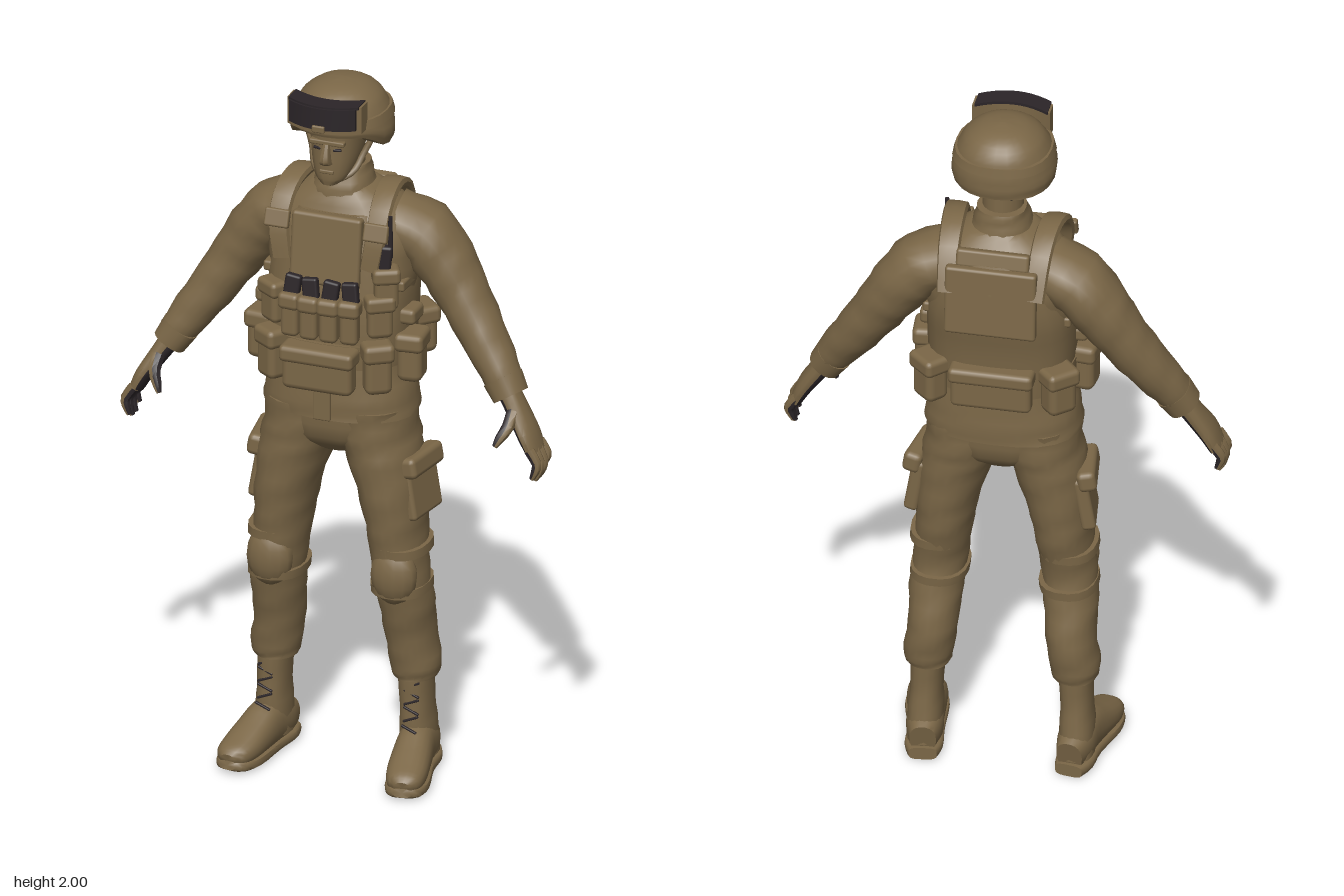
import * as THREE from 'three';
import { toCreasedNormals } from 'three/addons/utils/BufferGeometryUtils.js';
import { RoundedBoxGeometry } from 'three/addons/geometries/RoundedBoxGeometry.js';

const fabric = new THREE.MeshStandardMaterial({ color: 0x7b6747, side: THREE.DoubleSide });
fabric.name = 'tan fabric';
const dark = new THREE.MeshStandardMaterial({ color: 0x2b2528, side: THREE.DoubleSide });
dark.name = 'dark rubber';

const V = (x, y, z) => new THREE.Vector3(x, y, z);

// Smooth interpolation through rows of numbers
function refine(rows, sub) {
  const out = [];
  for (let i = 0; i < rows.length - 1; i++) {
    const p = [rows[Math.max(i - 1, 0)], rows[i], rows[i + 1], rows[Math.min(i + 2, rows.length - 1)]];
    for (let j = 0; j < sub; j++) {
      const t = j / sub;
      out.push(p[1].map((b, c) => {
        const a = p[0][c], d = p[2][c], e = p[3][c];
        return b + 0.5 * t * (d - a + t * (2 * a - 5 * b + 4 * d - e + t * (3 * (b - d) + e - a)));
      }));
    }
  }
  out.push(rows[rows.length - 1]);
  return out;
}

// Skin over elliptical sections [x, y, z, a, b]; wrinkle adds cloth folds, darkSide paints one half
function loft(rows, { n = 18, sub = 3, flat = false, ref = V(0, 0, 1), power = 0.85, wrinkle = 0, darkSide = 0 } = {}) {
  const rings = refine(rows, sub), pos = [], plain = [], painted = [];
  const center = (i) => V(...rings[Math.min(Math.max(i, 0), rings.length - 1)].slice(0, 3));
  const soft = (v) => Math.sign(v) * Math.abs(v) ** power;
  rings.forEach((r, k) => {
    const T = flat ? V(0, 1, 0) : center(k + 1).sub(center(k - 1)).normalize();
    const X = T.clone().cross(ref).normalize(), W = X.clone().cross(T);
    for (let j = 0; j < n; j++) {
      const q = (j / n) * Math.PI * 2;
      const f = 1 + wrinkle * (Math.sin(2 * q + 2.3 * k) + 0.7 * Math.sin(5 * q - 1.7 * k));
      const p = center(k).addScaledVector(X, r[3] * f * soft(Math.cos(q))).addScaledVector(W, r[4] * f * soft(Math.sin(q)));
      pos.push(p.x, p.y, p.z);
    }
  });
  for (let k = 0; k < rings.length - 1; k++) for (let j = 0; j < n; j++) {
    const a = k * n + j, b = k * n + (j + 1) % n, c = a + n, d = b + n;
    const list = Math.cos(((j + 0.5) / n) * Math.PI * 2) * darkSide > 0.15 ? painted : plain;
    list.push(a, c, b, b, c, d);
  }
  const last = rings.length - 1, base = pos.length / 3;
  pos.push(...center(0).toArray(), ...center(last).toArray());
  for (let j = 0; j < n; j++) {
    const i = (j + 1) % n;
    plain.push(base, j, i, base + 1, last * n + i, last * n + j);
  }
  const g = new THREE.BufferGeometry();
  g.setAttribute('position', new THREE.Float32BufferAttribute(pos, 3));
  g.setIndex([...plain, ...painted]);
  g.addGroup(0, plain.length, 0);
  g.addGroup(plain.length, painted.length, 1);
  return toCreasedNormals(g, 0.75);
}

export function createModel() {
  const model = new THREE.Group();
  model.name = 'soldier';
  const add = (name, geo, mat = fabric, parent = model) => {
    const m = new THREE.Mesh(geo, mat);
    m.name = name;
    parent.add(m);
    return m;
  };
  const box = (name, [x, y, z], [w, h, d], mat = fabric, rot = [0, 0, 0]) => {
    const m = add(name, new RoundedBoxGeometry(w, h, d, 2, Math.min(w, h, d) * 0.3), mat);
    m.position.set(x, y, z);
    m.rotation.set(...rot);
    return m;
  };
  // Pouch with an overhanging flap on its upper third
  const pouch = (name, p, [w, h, d], yaw = 0) => {
    box(name, p, [w, h, d], fabric, [0, yaw, 0]);
    box(name + 'Flap', [p[0], p[1] + h * 0.32, p[2]], [w + 0.012, h * 0.38, d + 0.014], fabric, [0, yaw, 0]);
  };

  // Jacket, hips and collar
  add('jacket', loft([[0, 1.055, -0.003, 0.215, 0.15], [0, 1.12, -0.003, 0.207, 0.15], [0, 1.22, -0.005, 0.185, 0.142],
    [0, 1.35, -0.012, 0.19, 0.14], [0, 1.48, -0.03, 0.21, 0.148], [0, 1.58, -0.038, 0.21, 0.138],
    [0, 1.65, -0.035, 0.155, 0.11], [0, 1.695, -0.025, 0.085, 0.08]], { n: 24, flat: true, wrinkle: 0.008 }));
  add('hips', loft([[0, 0.935, 0, 0.06, 0.07], [0, 0.99, 0, 0.19, 0.125], [0, 1.1, 0, 0.2, 0.135]], { flat: true }));
  add('collar', loft([[0, 1.66, -0.022, 0.095, 0.09], [0, 1.71, -0.022, 0.077, 0.08], [0, 1.75, -0.03, 0.066, 0.066]], { flat: true, wrinkle: 0.02 }));
  box('jacketPlacket', [0, 1.1, 0.147], [0.05, 0.09, 0.014]);

  // Vest
  add('vest', loft([[0, 1.27, -0.008, 0.197, 0.152], [0, 1.36, -0.014, 0.2, 0.155], [0, 1.46, -0.028, 0.195, 0.16],
    [0, 1.56, -0.035, 0.16, 0.158], [0, 1.635, -0.037, 0.125, 0.132]], { n: 24, flat: true, power: 0.7 }));
  box('chestPanel', [0, 1.54, 0.112], [0.2, 0.2, 0.035], fabric, [-0.12, 0, 0]);
  box('backPanel', [0, 1.53, -0.18], [0.25, 0.2, 0.03], fabric, [0.08, 0, 0]);
  box('backYoke', [0, 1.645, -0.148], [0.2, 0.05, 0.03], fabric, [0.3, 0, 0]);
  add('belt', loft([[0, 1.21, -0.005, 0.197, 0.156], [0, 1.28, -0.005, 0.202, 0.16]], { n: 24, flat: true }));

  // Magazine pouches, magazines and belt packs
  for (let i = 0; i < 4; i++) {
    const x = (i - 1.5) * 0.056;
    box('magazine', [x + 0.002, 1.432, 0.165 - Math.abs(x) * 0.12], [0.045, 0.08, 0.024], dark, [-0.1, 0, i % 2 ? 0.12 : -0.12]);
    pouch('magazinePouch', [x, 1.36, 0.168 - Math.abs(x) * 0.12], [0.05, 0.125, 0.045], x);
  }
  pouch('frontPack', [0, 1.215, 0.168], [0.2, 0.125, 0.06]);
  pouch('rearPack', [0, 1.25, -0.168], [0.22, 0.12, 0.05]);
  for (const s of [1, -1]) {
    pouch('frontBeltPouch', [s * 0.15, 1.225, 0.125], [0.075, 0.145, 0.065], s * 0.6);
    pouch('sideBeltPouch', [s * 0.213, 1.235, 0.03], [0.07, 0.14, 0.085], s * 0.1);
    pouch('rearBeltPouch', [s * 0.175, 1.245, -0.13], [0.085, 0.135, 0.07], -s * 0.75);
    pouch('chestSidePouch', [s * 0.15, 1.37, 0.11], [0.07, 0.12, 0.055], s * 0.6);
    box('sideBuckle', [s * 0.205, 1.35, 0.02], [0.05, 0.045, 0.08]);
    box('sideStrap', [s * 0.19, 1.44, -0.02], [0.025, 0.03, 0.17]);
    // Shoulder straps
    add('shoulderStrap', loft([[s * 0.125, 1.5, 0.118, 0.011, 0.027], [s * 0.14, 1.6, 0.105, 0.013, 0.03], [s * 0.138, 1.675, 0.05, 0.014, 0.032],
      [s * 0.13, 1.695, -0.04, 0.014, 0.032], [s * 0.125, 1.655, -0.125, 0.013, 0.03], [s * 0.12, 1.55, -0.185, 0.011, 0.027]],
      { n: 8, ref: V(1, 0, 0), power: 0.5 }));
    box('strapBuckle', [s * 0.142, 1.61, 0.113], [0.07, 0.05, 0.02], fabric, [-0.35, 0, 0]);
  }

  // Radio with antenna
  pouch('radioPouch', [0.165, 1.45, 0.1], [0.065, 0.12, 0.05], 0.5);
  box('radio', [0.165, 1.53, 0.105], [0.034, 0.09, 0.028], dark, [0, 0.4, -0.1]);
  add('antenna', new THREE.CylinderGeometry(0.006, 0.008, 0.12, 8), dark).position.set(0.178, 1.6, 0.1);

  for (const s of [1, -1]) {
    const side = s > 0 ? 'left' : 'right';
    const flip = (rows) => rows.map(([x, ...r]) => [s * x, ...r]);

    // Sleeve and cuff
    add(side + 'Sleeve', loft(flip([[0.13, 1.59, -0.05, 0.07, 0.1], [0.21, 1.555, -0.062, 0.082, 0.102], [0.272, 1.48, -0.062, 0.08, 0.092],
      [0.325, 1.4, -0.052, 0.071, 0.078], [0.388, 1.305, -0.032, 0.063, 0.07], [0.45, 1.215, -0.005, 0.054, 0.058],
      [0.482, 1.165, 0.01, 0.046, 0.05]]), { wrinkle: 0.025, power: 0.95 }));
    add(side + 'Cuff', loft(flip([[0.462, 1.195, 0.002, 0.052, 0.058], [0.49, 1.15, 0.012, 0.047, 0.052]]), { sub: 1 }));

    // Gloved hand with a dark palm
    const glove = [fabric, dark], finger = { n: 8, sub: 2, darkSide: s, power: 0.9 };
    add(side + 'Hand', loft(flip([[0.482, 1.165, 0.012, 0.03, 0.036], [0.515, 1.115, 0.022, 0.026, 0.042], [0.55, 1.06, 0.036, 0.023, 0.05],
      [0.572, 1.015, 0.04, 0.018, 0.047]]), { n: 14, darkSide: s }), glove);
    for (let i = 0; i < 4; i++) {
      const z = 0.004 + i * 0.025, drop = [0.018, 0, 0, 0.012][i];
      add(side + 'Finger', loft(flip([[0.568, 1.03, z, 0.015, 0.013], [0.59, 0.99 + drop / 2, z + 0.002, 0.014, 0.012],
        [0.588, 0.962 + drop, z + 0.005, 0.012, 0.011], [0.578, 0.938 + drop, z + 0.006, 0.007, 0.007]]), finger), glove);
    }
    add(side + 'Thumb', loft(flip([[0.51, 1.125, 0.04, 0.02, 0.02], [0.508, 1.09, 0.08, 0.017, 0.015], [0.492, 1.06, 0.102, 0.013, 0.012],
      [0.482, 1.04, 0.112, 0.007, 0.007]]), finger), glove);

    // Trouser leg, knee pad and cargo pocket
    add(side + 'TrouserLeg', loft(flip([[0.2, 0.275, -0.03, 0.06, 0.068], [0.2, 0.31, -0.03, 0.068, 0.076], [0.188, 0.4, -0.027, 0.067, 0.087],
      [0.184, 0.5, -0.004, 0.073, 0.089], [0.174, 0.6, 0.012, 0.074, 0.09], [0.163, 0.7, 0.005, 0.077, 0.107],
      [0.152, 0.8, 0.005, 0.086, 0.118], [0.128, 0.92, 0.003, 0.1, 0.126], [0.107, 1.0, 0, 0.104, 0.132],
      [0.1, 1.08, 0, 0.105, 0.135]]), { n: 20, flat: true, wrinkle: 0.02, power: 0.95 }));
    const knee = add(side + 'KneePad', new THREE.SphereGeometry(1, 14, 10));
    knee.scale.set(0.066, 0.085, 0.045);
    knee.position.set(s * 0.178, 0.6, 0.075);
    for (const y of [0.54, 0.655])
      add(side + 'KneeStrap', loft(flip([[0.177, y, 0.008, 0.079, 0.1], [0.175, y + 0.025, 0.008, 0.079, 0.102]]), { sub: 1, flat: true }));
    box(side + 'CargoPocket', [s * 0.222, 0.84, 0.0], [0.04, 0.16, 0.15], fabric, [0, -s * 0.15, s * 0.17]);
    box(side + 'CargoFlap', [s * 0.228, 0.915, 0.002], [0.052, 0.06, 0.165], fabric, [0, -s * 0.15, s * 0.17]);

    // Boot shaft, foot and sole, toes turned slightly outward
    add(side + 'BootShaft', loft(flip([[0.208, 0.04, -0.045, 0.048, 0.066], [0.207, 0.12, -0.035, 0.047, 0.068], [0.205, 0.2, -0.03, 0.043, 0.062],
      [0.2, 0.31, -0.03, 0.048, 0.064]]), { flat: true, wrinkle: 0.01 }));
    const down = { ref: V(0, -1, 0) };
    add(side + 'BootFoot', loft(flip([[0.2, 0.06, -0.112, 0.036, 0.045], [0.206, 0.07, -0.06, 0.05, 0.058], [0.214, 0.078, 0.0, 0.05, 0.068],
      [0.226, 0.064, 0.07, 0.054, 0.053], [0.238, 0.05, 0.135, 0.055, 0.04], [0.247, 0.042, 0.18, 0.045, 0.03],
      [0.25, 0.038, 0.2, 0.022, 0.017]]), down));
    add(side + 'BootSole', loft(flip([[0.199, 0.018, -0.118, 0.038, 0.018], [0.206, 0.018, -0.07, 0.052, 0.018], [0.216, 0.018, 0.01, 0.05, 0.018],
      [0.236, 0.018, 0.12, 0.06, 0.018], [0.247, 0.02, 0.18, 0.048, 0.017], [0.251, 0.024, 0.203, 0.022, 0.012]]), { ...down, power: 0.55 }));
    for (let i = 0; i < 6; i++)
      box(side + 'Lace', [s * 0.21, 0.14 + i * 0.024, 0.036 - i * 0.002 + (i ? 0 : 0.012)], [0.046, 0.006, 0.008], dark, [0, 0, i % 2 ? 0.4 : -0.4]);
  }

  // Neck, face and nose
  add('neck', loft([[0, 1.68, -0.02, 0.055, 0.058], [0, 1.85, -0.01, 0.058, 0.065]], { flat: true, power: 1 }));
  add('face', loft([[0, 1.727, 0.085, 0.022, 0.026], [0, 1.745, 0.062, 0.045, 0.053], [0, 1.785, 0.036, 0.061, 0.08],
    [0, 1.83, 0.022, 0.069, 0.093], [0, 1.9, 0.012, 0.075, 0.105]], { flat: true }));
  add('nose', loft([[0, 1.792, 0.113, 0.017, 0.018], [0, 1.806, 0.12, 0.015, 0.022], [0, 1.85, 0.112, 0.009, 0.012]], { n: 8, flat: true }));
  box('mouth', [0, 1.768, 0.112], [0.04, 0.011, 0.012]);
  box('brow', [0, 1.852, 0.107], [0.1, 0.014, 0.02]);
  box('napePad', [0, 1.82, -0.07], [0.09, 0.05, 0.03], dark);
  for (const s of [1, -1]) {
    box('eye', [s * 0.029, 1.833, 0.109], [0.022, 0.007, 0.007], dark, [0, s * 0.25, 0]);
    const strap = new THREE.CatmullRomCurve3([V(s * 0.1, 1.86, 0.01), V(s * 0.074, 1.8, 0.03), V(s * 0.055, 1.755, 0.06), V(0, 1.728, 0.1)]);
    add('chinStrap', new THREE.TubeGeometry(strap, 12, 0.009, 6));
  }

  // Helmet shell, its rim rising above the face
  const shell = loft([[0, 1.828, -0.003, 0.134, 0.13], [0, 1.86, 0, 0.142, 0.138], [0, 1.915, 0, 0.13, 0.133], [0, 1.96, -0.003, 0.104, 0.11],
    [0, 1.988, -0.006, 0.06, 0.067], [0, 1.998, -0.008, 0.004, 0.004]], { n: 24, flat: true, power: 0.95, wrinkle: 0.006 });
  const p = shell.attributes.position;
  for (let i = 0; i < p.count; i++) {
    const low = Math.max(0, (1.92 - p.getY(i)) / 0.09), ahead = THREE.MathUtils.smoothstep(p.getZ(i), 0.01, 0.1);
    p.setY(i, p.getY(i) + 0.045 * low * ahead);
  }
  add('helmet', shell);

  // Goggles bent around the helmet front
  const bent = (w, h, d) => {
    const g = new THREE.BoxGeometry(w, h, d, 10, 2, 1), q = g.attributes.position;
    for (let i = 0; i < q.count; i++) q.setZ(i, q.getZ(i) - 3.2 * q.getX(i) ** 2);
    g.computeVertexNormals();
    return g;
  };
  add('goggleFrame', bent(0.212, 0.078, 0.045)).position.set(0, 1.94, 0.142);
  add('goggleLens', bent(0.19, 0.062, 0.05), dark).position.set(0, 1.946, 0.15);
  add('goggleTop', bent(0.2, 0.008, 0.055), dark).position.set(0, 1.978, 0.142);
  box('goggleBridge', [0, 1.918, 0.173], [0.036, 0.02, 0.014]);
  add('goggleStrap', loft([[0, 1.9, 0, 0.138, 0.137], [0, 1.925, 0, 0.131, 0.133]], { n: 24, sub: 1, flat: true }));
  return model;
}
